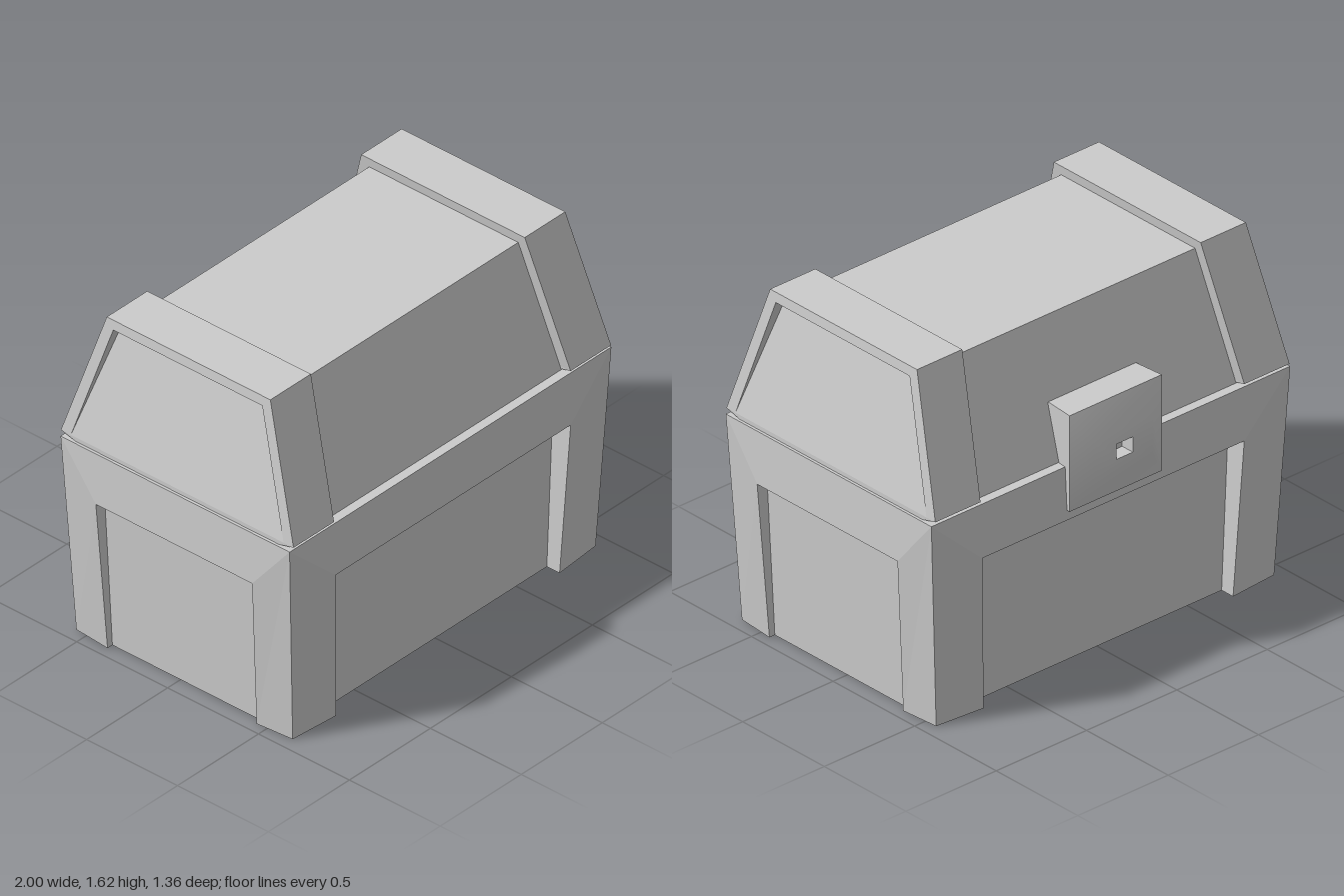
import * as THREE from 'three';
import { mergeVertices } from 'three/addons/utils/BufferGeometryUtils.js';

const CZ = 0.035; // the box sits slightly forward because the lock sticks out at the back
const mat = new THREE.MeshStandardMaterial({ color: 0xcccccc, side: THREE.DoubleSide });

// Flat-shaded geometry from a list of convex polygons
function faces(polys) {
  const pos = [];
  for (const p of polys)
    for (let i = 1; i < p.length - 1; i++) pos.push(...p[0], ...p[i], ...p[i + 1]);
  const g = new THREE.BufferGeometry();
  g.setAttribute('position', new THREE.Float32BufferAttribute(pos, 3));
  g.computeVertexNormals();
  return g;
}

function add(parent, name, geo, rotY = 0) {
  const m = new THREE.Mesh(geo, mat);
  m.name = name;
  m.rotation.y = rotY;
  parent.add(m);
  return m;
}

const flip = ([x, y, z]) => [-x, y, z];
// Polygon plus its mirror image across x = 0
const pair = (p) => [p, p.map(flip).reverse()];
// Strip joining a point to its mirror images
const span = (a, b) => [flip(a), flip(b), b, a];

// One wall facing +z: bulging frame with two legs and a recessed panel
function wall(ct, cb, it, ib, depthTop, depthBottom) {
  const pt = [it[0], it[1], depthTop], pb = [ib[0], ib[1], depthBottom];
  return faces([
    ...pair([ct, it, ib, cb]),  // legs
    span(ct, it),               // top rail
    ...pair([it, pt, pb, ib]),  // leg reveals
    span(it, pt),               // rail underside
    span(pt, pb),               // panel
  ]);
}

// One lid end facing +z: raised band with a recessed end panel
function lidEnd() {
  const B = [0.64, 1.0, 0.98], T = [0.45, 1.615, 0.91], b = [0.56, 0.98, 0.98];
  const inn = ([x, y, z]) => [x, y, z - 0.25];
  const ft = [0.41, 1.57, 0.915], fb = [0.585, 1.0, 0.98];
  const pt = [0.41, 1.57, 0.86];
  return faces([
    ...pair([B, inn(B), inn(T), T]),   // sloping sides
    ...pair([b, inn(b), inn(B), B]),   // lower bevels
    span(inn(T), T),                   // top
    span(b, inn(b)),                   // underside
    ...pair([B, T, ft, fb]),           // end frame
    span(T, ft),
    ...pair([b, B, fb]),
    ...pair([ft, pt, fb]),             // tapering reveals
    span(ft, pt),
    span(pt, fb),                      // end panel
    span(fb, b),
    [inn(b), inn(B), inn(T), flip(inn(T)), flip(inn(B)), flip(inn(b))], // inner step
  ]);
}

// Lock facing +z: domed plate with a small keyhole
function lockPlate() {
  const cy = 1.008;
  const ring = (w, h, z) => [[-w, cy - h, z], [w, cy - h, z], [w, cy + h, z], [-w, cy + h, z]];
  const loft = (rings) => {
    const out = [];
    for (let r = 0; r < rings.length - 1; r++)
      for (let i = 0; i < 4; i++) {
        const j = (i + 1) % 4;
        out.push([rings[r][i], rings[r][j], rings[r + 1][j], rings[r + 1][i]]);
      }
    return out;
  };
  const rim = ring(0.255, 0.227, 0.66);
  const hole = ring(0.045, 0.036, 0.715);
  const pocket = ring(0.045, 0.036, 0.65);
  // smooth dome
  let dome = faces(loft([rim, ring(0.16, 0.09, 0.71), hole]));
  dome.deleteAttribute('normal');
  dome = mergeVertices(dome);
  dome.computeVertexNormals();
  const sides = faces([...loft([ring(0.243, 0.227, 0.515), rim]), ...loft([hole, pocket]), pocket]);
  return [dome, sides];
}

export function createModel() {
  const model = new THREE.Group();
  model.name = 'chest';
  const box = new THREE.Group();
  box.name = 'box';
  const lid = new THREE.Group();
  lid.name = 'lid';
  const lock = new THREE.Group();
  lock.name = 'lock';
  for (const g of [box, lid, lock]) {
    g.position.z = CZ;
    model.add(g);
  }

  // Box walls
  const long = wall([0.993, 0.98, 0.63], [0.935, 0, 0.595], [0.725, 0.735, 0.645], [0.69, 0, 0.615], 0.545, 0.545);
  const short = wall([0.63, 0.98, 0.993], [0.595, 0, 0.935], [0.43, 0.735, 1.0], [0.41, 0, 0.95], 0.945, 0.92);
  add(box, 'frontWall', long);
  add(box, 'backWall', long, Math.PI);
  add(box, 'leftWall', short, Math.PI / 2);
  add(box, 'rightWall', short, -Math.PI / 2);
  add(box, 'rim', faces([[[-0.993, 0.98, 0.63], [0.993, 0.98, 0.63], [0.993, 0.98, -0.63], [-0.993, 0.98, -0.63]]]));
  // Partial floor in one corner
  add(box, 'floorPiece', faces([[
    [0, 0, 0], [0, 0, -0.545], [0.69, 0, -0.545], [0.69, 0, -0.615],
    [0.935, 0, -0.595], [0.95, 0, -0.41], [0.92, 0, -0.41],
  ].filter((_, i) => i !== 3 && i !== 5)]));

  // Lid
  const section = new THREE.Shape([[-0.5875, 0.982], [0.5875, 0.982], [0.41, 1.57], [-0.41, 1.57]]
    .map(([x, y]) => new THREE.Vector2(x, y)));
  const core = new THREE.ExtrudeGeometry(section, { depth: 1.5, bevelEnabled: false });
  core.translate(0, 0, -0.75);
  add(lid, 'lidCore', core, Math.PI / 2);
  const end = lidEnd();
  add(lid, 'leftLidBand', end, Math.PI / 2);
  add(lid, 'rightLidBand', end, -Math.PI / 2);

  // Lock on the back
  const [dome, sides] = lockPlate();
  add(lock, 'lockDome', dome, Math.PI);
  add(lock, 'lockSides', sides, Math.PI);
  return model;
}
